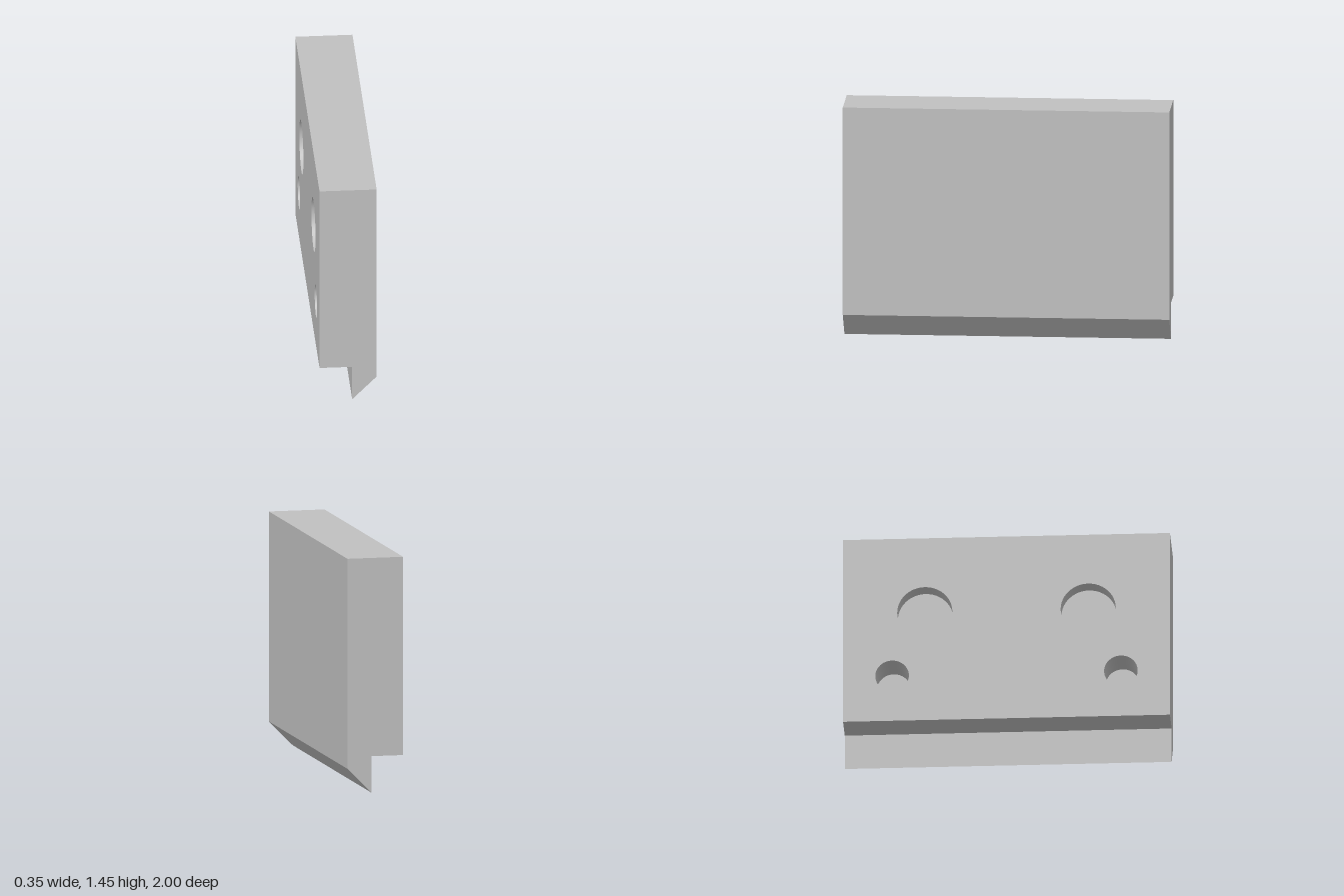
import * as THREE from 'three';
import { toCreasedNormals } from 'three/addons/utils/BufferGeometryUtils.js';

const HALF = 1; // half length along z
const LEFT = -0.175, RIGHT = 0.175, TOP = 1.45, STEP = 0.225;

// Cross-section, counter-clockwise; its closing edge is the drilled face
const profile = [
  [LEFT, STEP], [0.025, STEP], [0.025, 0], [RIGHT, 0.152], [RIGHT, TOP], [LEFT, TOP],
];

// Blind holes in the -x face
const holes = [-1, 1].flatMap((s) => [
  { name: 'largeRecess', z: s * 0.5, y: 0.952, r: 0.169, depth: 0.1 },
  { name: 'smallHole', z: s * 0.7, y: 0.528, r: 0.103, depth: 0.2 },
]);

export function createModel() {
  const group = new THREE.Group();
  group.name = 'steppedBlock';
  const grey = new THREE.MeshStandardMaterial({ color: 0xc0c0c0 });
  grey.name = 'grey';
  const add = (name, geometry) => {
    const mesh = new THREE.Mesh(geometry, grey);
    mesh.name = name;
    group.add(mesh);
    return mesh;
  };

  // Long walls swept along z, leaving out the drilled face
  const pos = [];
  for (let i = 0; i < profile.length - 1; i++) {
    const a = profile[i], b = profile[i + 1];
    pos.push(...a, HALF, ...a, -HALF, ...b, -HALF);
    pos.push(...a, HALF, ...b, -HALF, ...b, HALF);
  }
  const walls = new THREE.BufferGeometry();
  walls.setAttribute('position', new THREE.Float32BufferAttribute(pos, 3));
  walls.computeVertexNormals();
  add('longWalls', walls);

  // End faces
  const endShape = (s) => new THREE.ShapeGeometry(
    new THREE.Shape(profile.map(([x, y]) => new THREE.Vector2(s * x, y))));
  add('frontEnd', endShape(1).translate(0, 0, HALF));
  add('backEnd', endShape(-1).rotateY(Math.PI).translate(0, 0, -HALF));

  // Drilled face, with shape x running along z
  const face = new THREE.Shape([
    new THREE.Vector2(-HALF, STEP), new THREE.Vector2(HALF, STEP),
    new THREE.Vector2(HALF, TOP), new THREE.Vector2(-HALF, TOP),
  ]);
  for (const h of holes) {
    face.holes.push(new THREE.Path().absarc(h.z, h.y, h.r, 0, Math.PI * 2, true));
  }
  add('drilledFace', new THREE.ShapeGeometry(face, 24).rotateY(-Math.PI / 2).translate(LEFT, 0, 0));

  // Inner wall and floor of each hole
  for (const h of holes) {
    const cup = new THREE.LatheGeometry([
      new THREE.Vector2(h.r, 0), new THREE.Vector2(h.r, -h.depth), new THREE.Vector2(0, -h.depth),
    ], 48);
    add(h.name, toCreasedNormals(cup, 0.6).rotateZ(Math.PI / 2)).position.set(LEFT, h.y, h.z);
  }
  return group;
}
